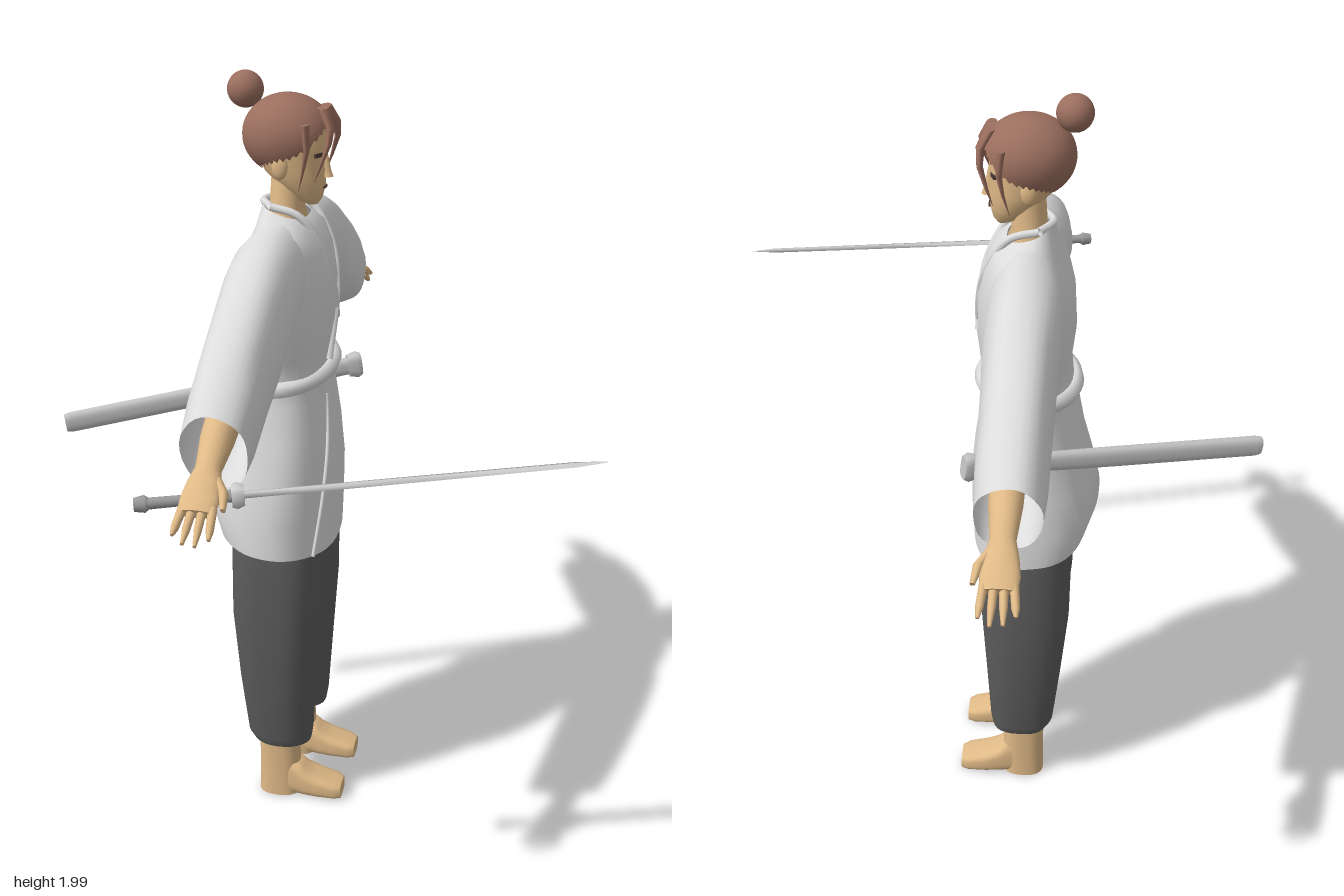
import * as THREE from 'three';

const mat = (name, color) => {
  const m = new THREE.MeshStandardMaterial({ color, side: THREE.DoubleSide });
  m.name = name;
  return m;
};

// Skin over rings. Each ring: c centre, u and v half axes; n sets squareness, fold the cloth waves.
function loft(rings, { seg = 32, n = 2, fold = 0, caps = true } = {}) {
  const pos = [], idx = [];
  const V = a => new THREE.Vector3(...a);
  const [r0, r1] = rings;
  const along = V(r1.c).sub(V(r0.c));
  const flip = V(r0.u).cross(V(r0.v)).dot(along) < 0;
  const tri = (a, b, c) => flip ? idx.push(a, c, b) : idx.push(a, b, c);
  const addRing = (r, i) => {
    for (let j = 0; j < seg; j++) {
      const a = j / seg * Math.PI * 2, k = 1 + fold * Math.sin(5 * a + i * 0.9);
      const p = t => Math.sign(t) * Math.abs(t) ** (2 / n) * k;
      for (let q = 0; q < 3; q++) pos.push(r.c[q] + r.u[q] * p(Math.cos(a)) + r.v[q] * p(Math.sin(a)));
    }
  };
  rings.forEach(addRing);
  for (let i = 0; i < rings.length - 1; i++)
    for (let j = 0; j < seg; j++) {
      const a = i * seg + j, b = i * seg + (j + 1) % seg;
      tri(a, b, b + seg);
      tri(a, b + seg, a + seg);
    }
  if (caps) [0, rings.length - 1].forEach(i => {
    const s = pos.length / 3;
    addRing(rings[i], i);
    pos.push(...rings[i].c);
    for (let j = 0; j < seg; j++) {
      const a = s + j, b = s + (j + 1) % seg;
      i ? tri(a, b, s + seg) : tri(b, a, s + seg);
    }
  });
  const g = new THREE.BufferGeometry();
  g.setAttribute('position', new THREE.Float32BufferAttribute(pos, 3));
  g.setIndex(idx);
  g.computeVertexNormals();
  return g;
}

// Horizontal ring from back x, front x and two z limits
const level = ([y, xb, xf, z0, z1], tilt = 0) =>
  ({ c: [(xb + xf) / 2, y, (z0 + z1) / 2], u: [(xf - xb) / 2, tilt, 0], v: [0, 0, (z1 - z0) / 2] });
const tube = (pts, r, closed = false) => new THREE.TubeGeometry(
  new THREE.CatmullRomCurve3(pts.map(p => new THREE.Vector3(...p)), closed), 40, r, 8, closed);

export function createModel() {
  const model = new THREE.Group();
  const skin = mat('skin', 0xdfb987), hair = mat('hair', 0x9b6f5f), robe = mat('robe cloth', 0xdcdcdc);
  const trousers = mat('trouser cloth', 0x5c5c5c), steel = mat('steel', 0xcfcfcf);
  const sheath = mat('scabbard', 0xc4c4c4), grip = mat('grip', 0x9a9a9a), dark = mat('face lines', 0x4a3a32);
  const add = (name, geo, m, parent = model) => {
    const mesh = new THREE.Mesh(geo, m);
    mesh.name = name;
    parent.add(mesh);
    return mesh;
  };
  const ball = (name, x, y, z, rx, ry, rz, m, parent) => {
    const b = add(name, new THREE.SphereGeometry(1, 20, 14), m, parent);
    b.position.set(x, y, z);
    b.scale.set(rx, ry, rz);
  };

  // Robe body, open at hem and neck
  add('robe', loft([
    [0.81, -0.285, 0.022, -0.23, 0.252], [0.9, -0.312, 0.025, -0.23, 0.25], [1.0, -0.295, 0.025, -0.22, 0.232],
    [1.1, -0.268, 0.015, -0.205, 0.212], [1.2, -0.248, 0, -0.188, 0.19], [1.26, -0.232, -0.008, -0.18, 0.18],
    [1.32, -0.225, 0, -0.19, 0.19], [1.4, -0.235, 0.01, -0.215, 0.215], [1.5, -0.23, 0.01, -0.215, 0.215],
    [1.58, -0.21, -0.008, -0.21, 0.21], [1.63, -0.185, -0.03, -0.17, 0.17], [1.67, -0.17, -0.06, -0.09, 0.09],
  ].map(r => level(r, r[0] < 1 || r[0] > 1.65 ? -0.018 : 0)), { n: 2.3, fold: 0.012, seg: 48, caps: false }), robe);
  // Crossed lapels and the front flap edge
  add('leftLapel', tube([[-0.14, 1.685, 0.07], [-0.07, 1.665, 0.072], [-0.015, 1.58, 0.05], [0.006, 1.48, 0.02], [0.008, 1.39, -0.01]], 0.01), robe);
  add('rightLapel', tube([[-0.14, 1.685, -0.07], [-0.07, 1.665, -0.072], [-0.015, 1.58, -0.055], [0.008, 1.46, -0.015], [0, 1.29, 0.04]], 0.01), robe);
  add('backCollar', tube([[-0.14, 1.685, -0.07], [-0.172, 1.685, 0], [-0.14, 1.685, 0.07]], 0.01), robe);
  add('flapEdge', tube([[-0.005, 1.2, 0.05], [0.008, 1.08, 0.1], [0.005, 0.95, 0.15], [-0.012, 0.8, 0.19]], 0.005), robe);
  // Belt
  const ring = [...Array(24)].map((_, i) => {
    const a = i / 24 * Math.PI * 2, z = 0.182 * Math.sin(a);
    return [-0.12 + 0.118 * Math.cos(a), 1.258 - 0.06 * z + 0.008 * Math.cos(a), z];
  });
  add('belt', tube(ring, 0.021, true), robe);

  // Head
  add('neck', loft([[1.58, -0.17, -0.05, -0.09, 0.09], [1.64, -0.165, -0.06, -0.07, 0.07],
    [1.67, -0.158, -0.07, -0.052, 0.052], [1.78, -0.15, -0.06, -0.048, 0.048]].map(r => level(r))), skin);
  add('head', loft([[1.682, -0.062, -0.036, -0.018, 0.018], [1.695, -0.095, -0.026, -0.036, 0.036],
    [1.725, -0.13, -0.018, -0.056, 0.056], [1.765, -0.17, -0.016, -0.068, 0.068], [1.81, -0.185, -0.018, -0.073, 0.073],
    [1.86, -0.19, -0.012, -0.077, 0.077], [1.91, -0.17, -0.03, -0.06, 0.06]].map(r => level(r))), skin);
  add('nose', loft([[1.75, -0.03, 0.003, -0.013, 0.013], [1.765, -0.03, -0.003, -0.01, 0.01],
    [1.82, -0.03, -0.014, -0.005, 0.005]].map(r => level(r)), { seg: 12 }), skin);
  add('mouth', new THREE.BoxGeometry(0.006, 0.005, 0.03), dark).position.set(-0.018, 1.725, 0);

  // Hair cap: a sphere whose lower edge rises over the face
  const cap = new THREE.SphereGeometry(1, 40, 20), p = cap.attributes.position, uv = cap.attributes.uv;
  for (let i = 0; i < p.count; i++) {
    const a = uv.getX(i) * Math.PI * 2, f = -Math.cos(a);
    const edge = f > 0 ? 1.8 + 0.085 * f ** 2 : 1.8 + 0.035 * f;
    const t = (1 - uv.getY(i)) * Math.acos((edge - 1.85) / 0.1);
    p.setXYZ(i, -0.11 + 0.113 * f * Math.sin(t), 1.85 + 0.1 * Math.cos(t), 0.104 * Math.sin(a) * Math.sin(t));
  }
  cap.computeVertexNormals();
  add('hairCap', cap, hair);
  ball('hairBun', -0.215, 1.955, 0, 0.045, 0.045, 0.045, hair);
  const lock = (name, pts, w) => add(name, loft(pts.map((c, i) => {
    const k = w * (1.05 - i / (pts.length - 1));
    return { c, u: [k * 0.45, 0, 0], v: [0, 0, k] };
  }), { seg: 12 }), hair);

  for (const s of [1, -1]) {
    const side = s > 0 ? 'left' : 'right';
    lock(side + 'FrontLock', [[-0.02, 1.92, s * 0.015], [0.002, 1.88, s * 0.035], [0.002, 1.84, s * 0.057], [-0.015, 1.79, s * 0.07], [-0.03, 1.75, s * 0.072]], 0.03);
    lock(side + 'SideLock', [[-0.05, 1.89, s * 0.08], [-0.045, 1.83, s * 0.088], [-0.055, 1.78, s * 0.085], [-0.07, 1.725, s * 0.072]], 0.022);
    ball(side + 'Ear', -0.115, 1.785, s * 0.073, 0.02, 0.032, 0.012, skin);
    const eye = add(side + 'Eye', new THREE.BoxGeometry(0.006, 0.01, 0.028), dark);
    eye.position.set(-0.028, 1.808, s * 0.034);
    eye.rotation.y = -s * 0.35;

    // Sleeve: [top z, top y, bottom z, bottom y, half depth]
    add(side + 'Sleeve', loft([
      [0.1, 1.655, 0.1, 1.43, 0.08], [0.2, 1.652, 0.22, 1.4, 0.09], [0.3, 1.632, 0.33, 1.345, 0.09], [0.4, 1.595, 0.43, 1.295, 0.086],
      [0.56, 1.515, 0.56, 1.248, 0.083], [0.65, 1.46, 0.63, 1.22, 0.082], [0.735, 1.395, 0.685, 1.208, 0.076],
    ].map(([tz, ty, bz, by, r]) => ({
      c: [-0.118, (ty + by) / 2, s * (tz + bz) / 2], u: [r, 0, 0], v: [0, (ty - by) / 2, s * (tz - bz) / 2],
    })), { n: 2.2, fold: 0.018, caps: false }), robe);

    // Forearm, palm and fingers: [z, y, half width, half thickness]
    add(side + 'Forearm', loft([[0.5, 1.42, 0.045, 0.045], [0.7, 1.33, 0.038, 0.036], [0.775, 1.293, 0.029, 0.022],
      [0.81, 1.275, 0.038, 0.019], [0.85, 1.254, 0.044, 0.017], [0.88, 1.237, 0.04, 0.012]].map(([z, y, w, t]) =>
      ({ c: [-0.112, y, s * z], u: [w, 0, 0], v: [0, t, s * t * 0.5] })), { seg: 20 }), skin);
    for (let i = 0; i < 4; i++) {
      const x = -0.144 + i * 0.0215, tip = [0.925, 0.942, 0.945, 0.93][i];
      add(side + 'Finger', loft([[0.865, 0.0105], [0.91, 0.009], [tip, 0.004]].map(([z, r]) =>
        ({ c: [x + (i - 1.5) * (z - 0.865) * 0.08, 1.244 - (z - 0.865) * 0.62, s * z], u: [r, 0, 0], v: [0, r, s * r * 0.5] })), { seg: 10 }), skin);
    }
    add(side + 'Thumb', loft([[-0.09, 1.28, 0.795, 0.014], [-0.065, 1.265, 0.83, 0.012], [-0.056, 1.245, 0.87, 0.006]].map(([x, y, z, r]) =>
      ({ c: [x, y, s * z], u: [r, 0, 0], v: [0, r, s * r * 0.5] })), { seg: 10 }), skin);

    // Trouser leg
    const mirror = ([y, b, f, i, o]) => level(s > 0 ? [y, b, f, i, o] : [y, b, f, -o, -i]);
    add(side + 'TrouserLeg', loft([[0.19, -0.195, -0.038, 0.032, 0.172], [0.22, -0.21, -0.034, 0.028, 0.184],
      [0.4, -0.228, -0.024, 0.026, 0.208], [0.6, -0.245, -0.01, 0.016, 0.222], [0.8, -0.245, -0.005, 0.004, 0.215],
      [0.95, -0.24, -0.01, 0, 0.195]].map(mirror), { n: 2.4, fold: 0.012 }), trousers);
    // Ankle and foot
    add(side + 'Ankle', loft([[0.01, -0.185, -0.07, 0.056, 0.148], [0.1, -0.183, -0.07, 0.056, 0.148],
      [0.24, -0.184, -0.075, 0.056, 0.15]].map(mirror), { n: 2.4 }), skin);
    add(side + 'Foot', loft([[-0.15, 0.11, 0.038], [-0.085, 0.122, 0.043], [-0.055, 0.093, 0.046], [-0.02, 0.075, 0.048],
      [0.03, 0.06, 0.046], [0.05, 0.052, 0.036]].map(([x, h, w]) =>
      ({ c: [x, (h + 0.008) / 2, s * 0.102], u: [0, (h - 0.008) / 2, 0], v: [0, 0, w] })), { n: 3.2 }), skin);
  }

  // Long objects are built along their own z, then aimed: rows are [z, half width, half height]
  const aimed = (name, from, to) => {
    const g = new THREE.Group();
    g.name = name;
    g.position.set(...from);
    g.lookAt(...to);
    model.add(g);
    return g;
  };
  const bar = (name, rows, m, parent, opt) => add(name, loft(rows.map(([z, w, h]) =>
    ({ c: [0, 0, z], u: [w, 0, 0], v: [0, h, 0] })), opt), m, parent);

  // Sword in the left hand
  const sword = aimed('sword', [-0.24, 1.245, 0.875], [0.72, 1.3, 0.58]);
  bar('swordGrip', [[0, 0.013, 0.013], [0.1, 0.011, 0.012], [0.205, 0.013, 0.014]], grip, sword, { seg: 12 });
  bar('pommel', [[-0.008, 0.014, 0.015], [0.015, 0.019, 0.019], [0.022, 0.014, 0.014]], grip, sword, { seg: 12 });
  bar('guard', [[0.198, 0.024, 0.022], [0.21, 0.028, 0.026], [0.225, 0.022, 0.02]], steel, sword, { seg: 12, n: 3 });
  bar('blade', [[0.22, 0.018, 0.006], [0.6, 0.0165, 0.005], [0.94, 0.014, 0.004], [1.006, 0.001, 0.001]], steel, sword, { seg: 4 });

  // Scabbard through the belt on the right hip
  const scabbard = aimed('scabbard', [0.01, 1.158, -0.29], [-0.72, 1.055, 0.04]);
  bar('scabbardBody', [[0.02, 0.015, 0.024], [0.4, 0.0165, 0.027], [0.795, 0.0175, 0.027], [0.812, 0.015, 0.024]], sheath, scabbard, { n: 2.6 });
  bar('scabbardMouth', [[-0.012, 0.02, 0.03], [0, 0.024, 0.036], [0.025, 0.02, 0.03]], sheath, scabbard, { n: 3 });
  bar('scabbardBand', [[0.065, 0.019, 0.03], [0.08, 0.023, 0.034], [0.1, 0.019, 0.03]], sheath, scabbard, { n: 3 });
  return model;
}
